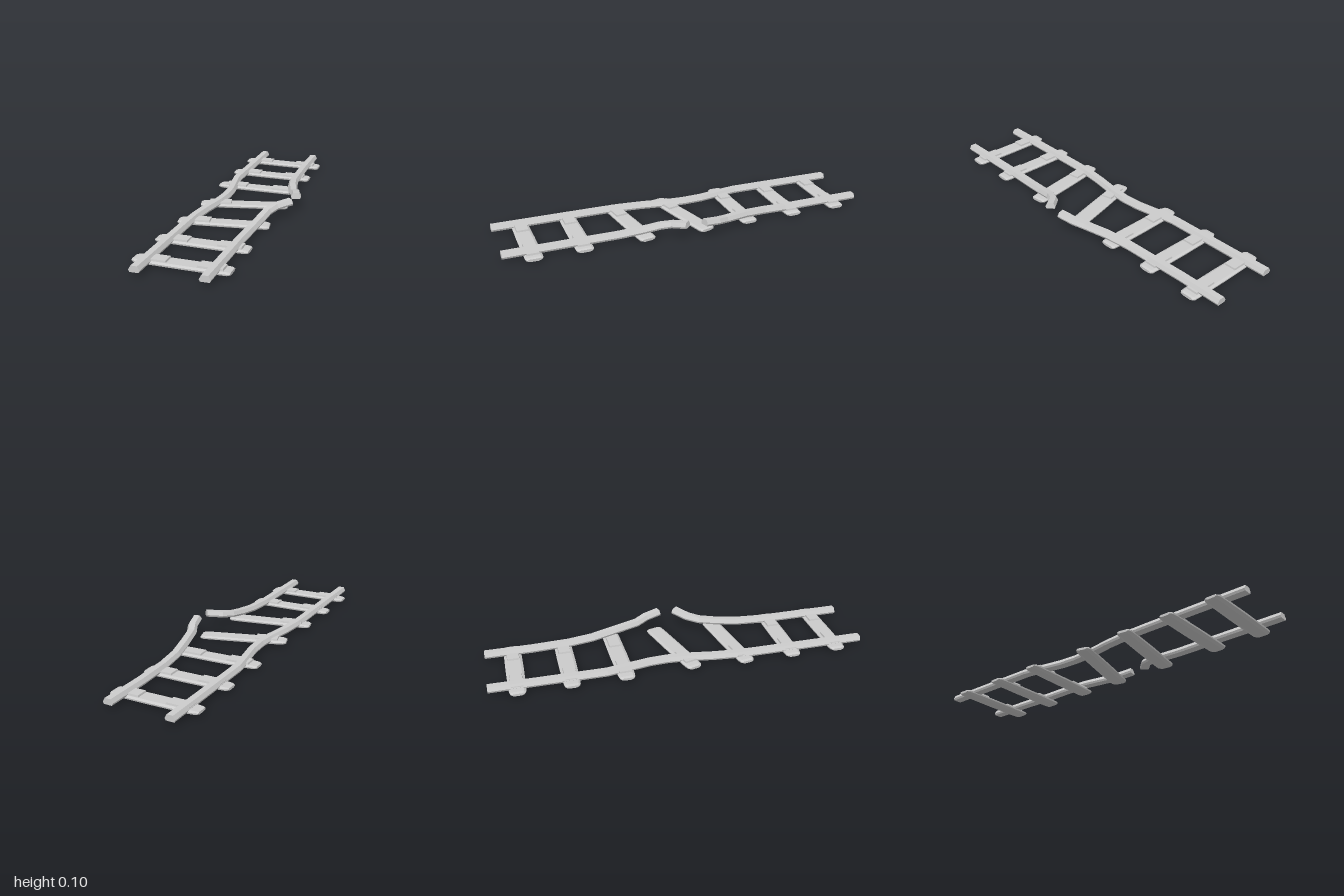
import * as THREE from 'three';

const material = new THREE.MeshStandardMaterial({ color: 0xcccccc, flatShading: true, side: THREE.DoubleSide });

// Skins a list of equal-sized rings of points and caps both ends.
function loft(rings) {
  const pos = [];
  const tri = (a, b, c) => pos.push(...a.toArray(), ...b.toArray(), ...c.toArray());
  const n = rings[0].length;
  for (let i = 0; i < rings.length - 1; i++) {
    for (let j = 0; j < n; j++) {
      const k = (j + 1) % n, a = rings[i], b = rings[i + 1];
      tri(a[j], a[k], b[k]);
      tri(a[j], b[k], b[j]);
    }
  }
  const first = rings[0], last = rings[rings.length - 1];
  for (let j = 1; j < n - 1; j++) {
    tri(first[0], first[j + 1], first[j]);
    tri(last[0], last[j], last[j + 1]);
  }
  const geometry = new THREE.BufferGeometry();
  geometry.setAttribute('position', new THREE.Float32BufferAttribute(pos, 3));
  geometry.computeVertexNormals();
  return geometry;
}

// Rail section: wide foot, chamfered head (sideways, up), counter-clockwise.
const railSection = [[-0.022, -0.016], [0.022, -0.016], [0.027, -0.005], [0.016, 0.015], [-0.016, 0.015], [-0.027, -0.005]];

// Sweeps the rail section along a bent path running towards -z.
function rail(name, path) {
  const pts = path.map(p => new THREE.Vector3(...p));
  const up = new THREE.Vector3(0, 1, 0);
  const rings = pts.map((p, i) => {
    const t = pts[Math.min(i + 1, pts.length - 1)].clone().sub(pts[Math.max(i - 1, 0)]).normalize();
    const side = t.clone().cross(up).normalize();
    const lift = side.clone().cross(t);
    return railSection.map(([s, h]) => p.clone().addScaledVector(side, s).addScaledVector(lift, h));
  });
  // The path runs away from the viewer, so the rings are reversed to face outwards.
  const mesh = new THREE.Mesh(loft(rings.reverse()), material);
  mesh.name = name;
  return mesh;
}

// Sleeper: flat top, rounded belly, tapered ends.
const tieSection = [[0.034, 0.024], [0.046, 0.017], [0.044, 0.009], [0.026, 0.001], [-0.026, 0.001], [-0.044, 0.009], [-0.046, 0.017], [-0.034, 0.024]];
function tieGeometry() {
  const stations = [[-0.236, 0.68, 0.55], [-0.222, 0.88, 0.9], [-0.19, 0.96, 1], [0, 1.02, 1], [0.19, 1, 1], [0.222, 0.97, 0.92], [0.234, 0.8, 0.6]];
  return loft(stations.map(([x, w, h]) =>
    tieSection.map(([z, y]) => new THREE.Vector3(x, 0.013 + (y - 0.013) * h, z * w))));
}

// Bearing plate with a bevelled top edge.
function plateGeometry(width) {
  const geometry = new THREE.BoxGeometry(width, 0.016, 0.068);
  const p = geometry.attributes.position;
  for (let i = 0; i < p.count; i++) {
    if (p.getY(i) > 0) p.setXYZ(i, p.getX(i) * 0.95, p.getY(i), p.getZ(i) * 0.9);
  }
  geometry.computeVertexNormals();
  return geometry;
}

export function createModel() {
  const track = new THREE.Group();
  track.name = 'brokenTrack';

  // Rails: one bowed, one snapped into two lifted halves
  track.add(rail('bowedRail', [
    [-0.205, 0.036, 1], [-0.205, 0.036, 0.42], [-0.203, 0.036, 0.3], [-0.19, 0.036, 0.17], [-0.167, 0.036, 0.03],
    [-0.16, 0.036, -0.07], [-0.165, 0.036, -0.17], [-0.188, 0.036, -0.3], [-0.205, 0.036, -0.4], [-0.205, 0.036, -1],
  ]));
  track.add(rail('snappedRailFront', [
    [0.122, 0.036, 1], [0.122, 0.036, 0.55], [0.13, 0.04, 0.4], [0.143, 0.052, 0.28],
    [0.155, 0.066, 0.19], [0.185, 0.078, 0.13], [0.25, 0.091, 0.072],
  ]));
  track.add(rail('snappedRailBack', [
    [0.255, 0.091, -0.02], [0.235, 0.079, -0.1], [0.205, 0.066, -0.16], [0.168, 0.059, -0.29],
    [0.14, 0.046, -0.42], [0.129, 0.038, -0.55], [0.122, 0.036, -0.75], [0.122, 0.036, -1],
  ]));

  // Sleepers: z centre, turn about y, whether the second plate is still there
  const ties = [
    [-0.855, 0, true], [-0.585, 0, true], [-0.31, 0.02, true], [-0.005, 0.26, false],
    [0.3, 0.16, false], [0.595, 0, true], [0.85, 0, true],
  ];
  const tieGeo = tieGeometry();
  const plateGeo = plateGeometry(0.125);
  ties.forEach(([z, turn, secondPlate]) => {
    const group = new THREE.Group();
    group.name = 'sleeper';
    const tie = new THREE.Mesh(tieGeo, material);
    tie.name = 'tie';
    group.add(tie);
    for (const x of secondPlate ? [-0.13, 0.14] : [-0.13]) {
      const plate = new THREE.Mesh(plateGeo, material);
      plate.name = 'plate';
      plate.position.set(x, 0.025, 0);
      group.add(plate);
    }
    group.position.set(turn > 0.2 ? -0.03 : -0.04, 0.0035, z);
    group.rotation.set(0, turn, -0.015);
    track.add(group);
  });
  return track;
}
